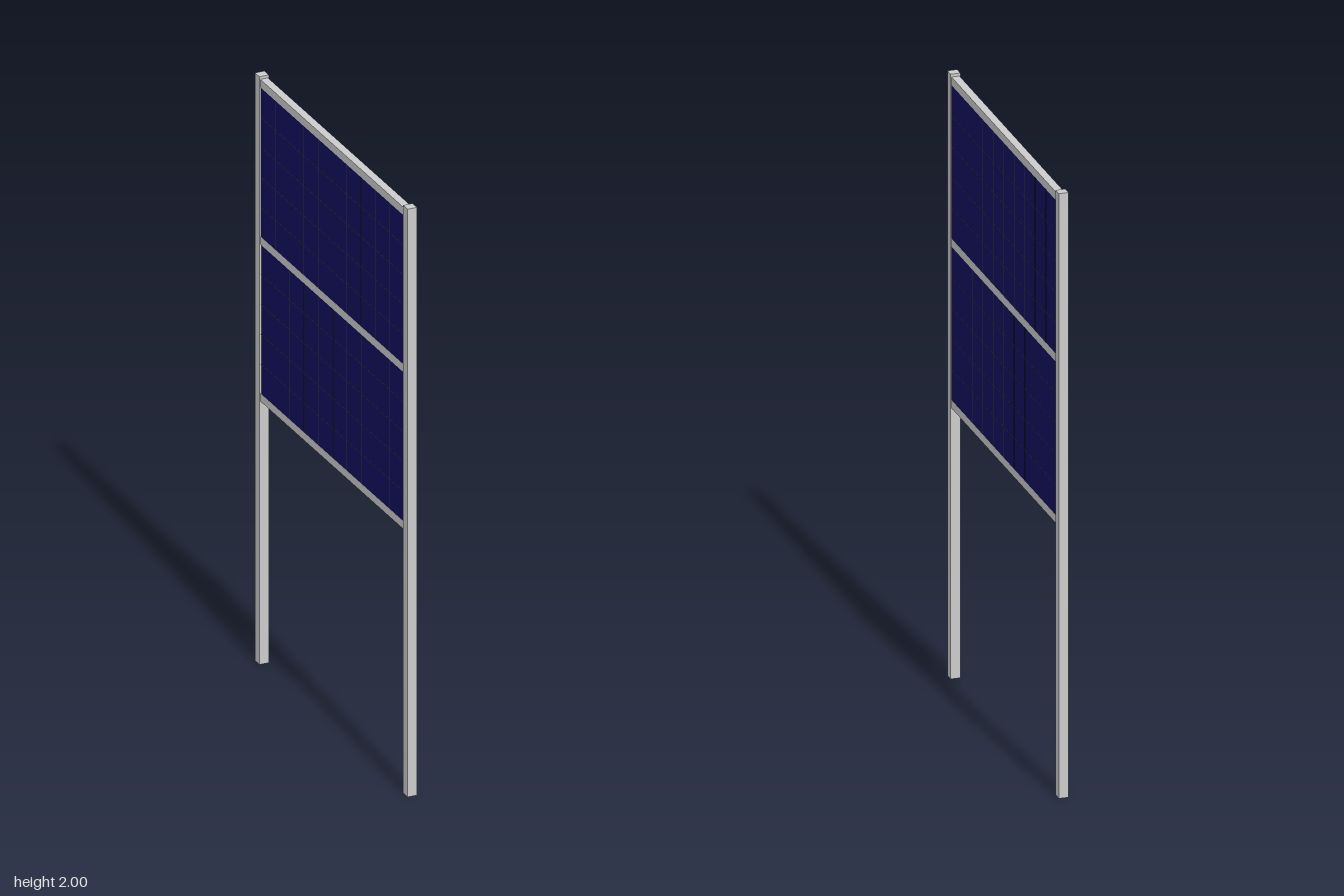
import * as THREE from 'three';

const metal = new THREE.MeshStandardMaterial({ color: 0xcccccc });
const panelBlue = new THREE.MeshStandardMaterial({ color: 0x14105f });
const seamGrey = new THREE.MeshStandardMaterial({ color: 0x36363f });

function addBox(parent, name, size, position, material = metal) {
  const mesh = new THREE.Mesh(new THREE.BoxGeometry(...size), material);
  mesh.position.set(...position);
  mesh.name = name;
  parent.add(mesh);
  return mesh;
}

// Solar panel slab with a fine grid of cell seams on both faces
function createPanel(name, yLow, yHigh, zLow, zHigh) {
  const panel = new THREE.Group();
  panel.name = name;
  const height = yHigh - yLow, width = zHigh - zLow;
  const yMid = (yLow + yHigh) / 2, zMid = (zLow + zHigh) / 2;
  const columns = 10, rows = 5, seam = 0.002, seamDepth = 0.0262;
  addBox(panel, 'panelSlab', [0.0254, height, width], [0, yMid, zMid], panelBlue);
  for (let i = 1; i < columns; i++) {
    addBox(panel, 'verticalSeam', [seamDepth, height, seam],
      [0, yMid, zLow + width * i / columns], seamGrey);
  }
  for (let j = 1; j < rows; j++) {
    addBox(panel, 'horizontalSeam', [seamDepth, seam, width],
      [0, yLow + height * j / rows, zMid], seamGrey);
  }
  return panel;
}

export function createModel() {
  const model = new THREE.Group();
  model.name = 'solarPanelStand';

  // Two square posts
  for (const side of [1, -1]) {
    addBox(model, side > 0 ? 'frontPost' : 'backPost', [0.032, 2, 0.032], [0, 1, side * 0.53]);
  }

  // Cross rails between the posts
  const rails = { bottomRail: 0.909, middleRail: 1.443, topRail: 1.977 };
  for (const [name, y] of Object.entries(rails)) {
    addBox(model, name, [0.026, 0.027, 1.03], [0, y, 0]);
  }

  // Panels filling the two bays, with a slim clearance at the back post
  model.add(createPanel('lowerPanel', 0.922, 1.43, -0.508, 0.514));
  model.add(createPanel('upperPanel', 1.456, 1.964, -0.51, 0.514));
  return model;
}
